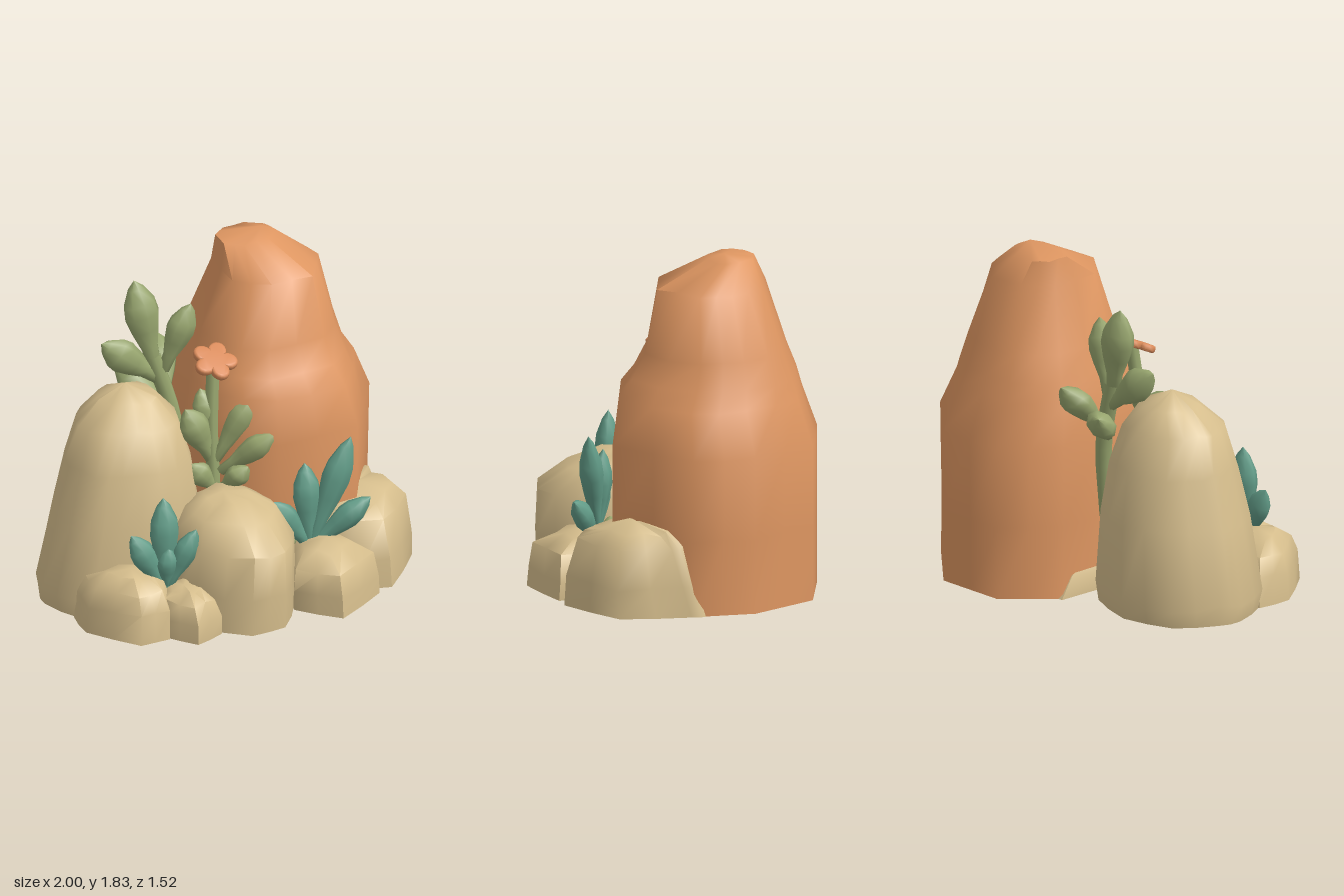
import * as THREE from 'three';
import { toCreasedNormals } from 'three/addons/utils/BufferGeometryUtils.js';

const paint = (name, color) => {
  const m = new THREE.MeshStandardMaterial({ color });
  m.name = name;
  return m;
};

function seeded(seed) {
  return () => {
    seed = (seed * 16807) % 2147483647;
    return seed / 2147483647 - 0.5;
  };
}

// Rock lofted from a footprint [x, z] stretched to rings [y, x0, x1, z0, z1, bulge], closed by a peak [x, y, z]
function rock(name, materials, footprint, rings, peak, seed, rough = 0.02) {
  const rand = seeded(seed);
  const unit = (t) => THREE.MathUtils.clamp(t, -1, 1);
  const xs = footprint.map((p) => p[0]), zs = footprint.map((p) => p[1]);
  const x0 = Math.min(...xs), x1 = Math.max(...xs), z0 = Math.min(...zs), z1 = Math.max(...zs);
  const corners = footprint.map(([x, z]) => [(2 * (x - x0)) / (x1 - x0) - 1, (2 * (z - z0)) / (z1 - z0) - 1]);
  const n = corners.length * 2;
  const loops = rings.map(([y, rx0, rx1, rz0, rz1, bulge = 1.03], i) => {
    const uneven = i > 0 ? rough : 0;
    const loop = [];
    const add = (u, v, s) => loop.push([
      (rx0 + rx1 + unit(u * s) * (rx1 - rx0)) / 2, y + rand() * uneven * 1.6, (rz0 + rz1 + unit(v * s) * (rz1 - rz0)) / 2]);
    // midpoints of the sides bulge slightly
    corners.forEach(([u, v], j) => {
      const [u2, v2] = corners[(j + 1) % corners.length];
      add(u, v, 1);
      add((u + u2) / 2, (v + v2) / 2, bulge + rand() * uneven * 2);
    });
    return loop;
  });
  const pos = [];
  const tri = (...c) => c.forEach((p) => pos.push(...p));
  for (let i = 0; i < loops.length - 1; i++) {
    for (let j = 0; j < n; j++) {
      const k = (j + 1) % n, lo = loops[i], hi = loops[i + 1];
      tri(lo[j], hi[j], lo[k]);
      tri(lo[k], hi[j], hi[k]);
    }
  }
  const top = loops[loops.length - 1], base = loops[0];
  for (let j = 0; j < n; j++) tri(top[j], peak, top[(j + 1) % n]);
  const sideCount = pos.length / 3;
  const centre = [(rings[0][1] + rings[0][2]) / 2, 0, (rings[0][3] + rings[0][4]) / 2];
  for (let j = 0; j < n; j++) tri(base[j], base[(j + 1) % n], centre);
  const geo = new THREE.BufferGeometry();
  geo.setAttribute('position', new THREE.Float32BufferAttribute(pos, 3));
  geo.addGroup(0, sideCount, 0);
  geo.addGroup(sideCount, pos.length / 3 - sideCount, 1);
  const mesh = new THREE.Mesh(toCreasedNormals(geo, 1), materials);
  mesh.name = name;
  return mesh;
}

// Plump pointed leaf running from base to tip
const leafProfile = [[0.001, 0], [0.2, 0.03], [0.24, 0.25], [0.4, 0.45], [0.5, 0.62], [0.46, 0.75], [0.24, 0.91], [0.001, 1]]
  .map(([r, y]) => new THREE.Vector2(r, y));
const leafGeometry = new THREE.LatheGeometry(leafProfile, 8);

function leaf(material, base, tip, width) {
  const a = new THREE.Vector3(...base), d = new THREE.Vector3(...tip).sub(a);
  const mesh = new THREE.Mesh(leafGeometry, material);
  mesh.name = 'leaf';
  mesh.position.copy(a);
  mesh.scale.set(width, d.length(), width * 0.75);
  mesh.quaternion.setFromUnitVectors(new THREE.Vector3(0, 1, 0), d.normalize());
  return mesh;
}

function plant(name, material, stemPoints, stemRadius, leaves) {
  const g = new THREE.Group();
  g.name = name;
  if (stemPoints) {
    const curve = new THREE.CatmullRomCurve3(stemPoints.map((p) => new THREE.Vector3(...p)));
    const stem = new THREE.Mesh(new THREE.TubeGeometry(curve, 8, stemRadius, 7), material);
    stem.name = 'stem';
    g.add(stem);
  }
  leaves.forEach((l) => g.add(leaf(material, ...l)));
  return g;
}

export function createModel() {
  const root = new THREE.Group();
  root.name = 'desertRocks';
  const orange = paint('orangeStone', 0xde9661);
  const tan = paint('sandStone', 0xd5bd8c);
  const green = paint('sageGreen', 0x98a66f);
  const teal = paint('tealGreen', 0x629c88);
  const bloom = paint('flowerOrange', 0xda8b5a);

  // Tall orange pillar with a sandy underside
  root.add(rock('tallPillar', [orange, tan],
    [[0.18, -0.76], [0.58, -0.75], [0.87, -0.46], [0.95, -0.14], [0.65, 0.29], [0.18, 0.29], [-0.11, 0], [-0.07, -0.52]],
    [[0, -0.11, 0.94, -0.76, 0.29, 1], [0.4, -0.11, 0.94, -0.76, 0.3, 1], [0.84, -0.11, 0.95, -0.76, 0.3, 1.01],
      [1.08, -0.06, 0.85, -0.68, 0.27, 1.06], [1.18, -0.03, 0.79, -0.65, 0.2, 1.1], [1.32, 0.01, 0.75, -0.6, 0.13, 1.1],
      [1.66, 0.11, 0.66, -0.49, 0.07, 1.02], [1.79, 0.15, 0.47, -0.43, -0.19, 1]],
    [0.39, 1.83, -0.28], 11, 0.01));

  // Sandy boulders
  root.add(rock('leftBoulder', [tan, tan],
    [[-0.2, -0.42], [-0.1, -0.08], [-0.22, 0.2], [-0.5, 0.27], [-0.76, 0.2], [-0.92, 0.1], [-1, -0.14], [-0.96, -0.27], [-0.8, -0.47], [-0.5, -0.54]],
    [[0, -0.98, -0.12, -0.52, 0.26], [0.1, -1, -0.11, -0.54, 0.27], [0.5, -0.91, -0.13, -0.5, 0.25],
      [0.78, -0.84, -0.17, -0.45, 0.2], [0.99, -0.78, -0.23, -0.38, 0.12], [1.1, -0.65, -0.33, -0.3, 0]],
    [-0.5, 1.18, -0.14], 23));
  root.add(rock('centreBoulder', [tan, tan],
    [[-0.3, -0.05], [0.05, -0.05], [0.18, 0.25], [0.17, 0.5], [0, 0.72], [-0.2, 0.73], [-0.42, 0.5], [-0.44, 0.2]],
    [[0, -0.44, 0.18, -0.05, 0.72], [0.2, -0.44, 0.18, -0.04, 0.73], [0.44, -0.41, 0.17, 0, 0.72],
      [0.56, -0.34, 0.11, 0.08, 0.56], [0.62, -0.24, 0, 0.16, 0.42]],
    [-0.14, 0.645, 0.28], 37));
  root.add(rock('rightBoulder', [tan, tan],
    [[0.45, -0.15], [0.93, -0.15], [0.95, -0.08], [1, 0.27], [0.72, 0.55], [0.45, 0.45], [0.38, 0.15]],
    [[0, 0.38, 1, -0.2, 0.55], [0.15, 0.38, 0.99, -0.15, 0.54], [0.36, 0.4, 0.96, -0.08, 0.48], [0.43, 0.5, 0.9, 0, 0.37]],
    [0.7, 0.475, 0.2], 41));
  root.add(rock('frontRightStone', [tan, tan],
    [[0.25, 0.25], [0.52, 0.28], [0.63, 0.58], [0.32, 0.76], [0.14, 0.55]],
    [[0, 0.14, 0.63, 0.25, 0.76], [0.1, 0.14, 0.63, 0.25, 0.75], [0.24, 0.15, 0.6, 0.28, 0.73], [0.31, 0.23, 0.5, 0.34, 0.6]],
    [0.38, 0.335, 0.46], 53));
  root.add(rock('frontLeftStone', [tan, tan],
    [[-0.92, 0.1], [-0.55, 0.1], [-0.45, 0.3], [-0.6, 0.54], [-0.77, 0.54], [-0.95, 0.28]],
    [[0, -0.95, -0.45, 0.08, 0.55], [0.15, -0.94, -0.45, 0.09, 0.54], [0.26, -0.9, -0.5, 0.13, 0.5], [0.31, -0.82, -0.58, 0.2, 0.4]],
    [-0.7, 0.33, 0.3], 67));
  root.add(rock('smallFrontStone', [tan, tan],
    [[-0.55, 0.3], [-0.32, 0.3], [-0.26, 0.5], [-0.33, 0.62], [-0.5, 0.68], [-0.62, 0.5]],
    [[0, -0.62, -0.26, 0.3, 0.68], [0.1, -0.62, -0.26, 0.3, 0.68], [0.2, -0.6, -0.3, 0.33, 0.64], [0.24, -0.54, -0.37, 0.38, 0.55]],
    [-0.47, 0.25, 0.46], 71));
  root.add(rock('lowBackStone', [tan, tan],
    [[-0.08, -0.53], [0.1, -0.5], [0.1, -0.1], [-0.13, -0.1]],
    [[0, -0.13, 0.1, -0.54, -0.1], [0.1, -0.13, 0.1, -0.46, -0.1]],
    [-0.04, 0.2, -0.22], 83));

  // Teal succulents
  const a = [-0.53, 0.2, 0.38];
  root.add(plant('leftSucculent', teal, null, 0, [
    [a, [-0.54, 0.73, 0.36], 0.17], [a, [-0.72, 0.54, 0.34], 0.14],
    [a, [-0.39, 0.55, 0.45], 0.14], [a, [-0.54, 0.46, 0.42], 0.12]]));
  const b = [0.32, 0.26, 0.39];
  root.add(plant('rightSucculent', teal, null, 0, [
    [b, [0.54, 0.87, 0.43], 0.17], [b, [0.3, 0.74, 0.36], 0.16],
    [b, [0.1, 0.56, 0.37], 0.14], [b, [0.62, 0.53, 0.5], 0.15]]));

  // Tall leafy plant between the rocks
  root.add(plant('backPlant', green, [[-0.1, 0.4, -0.22], [-0.14, 0.85, -0.28], [-0.24, 1.2, -0.32]], 0.045, [
    [[-0.23, 1.12, -0.31], [-0.33, 1.64, -0.36], 0.2], [[-0.2, 1.06, -0.31], [-0.54, 1.33, -0.33], 0.18],
    [[-0.19, 1.1, -0.3], [-0.06, 1.5, -0.23], 0.17], [[-0.17, 0.92, -0.3], [-0.09, 1.2, -0.56], 0.19],
    [[-0.17, 0.88, -0.29], [-0.34, 1.08, -0.54], 0.18]]));

  // Flowering plant in front of the pillar
  root.add(plant('flowerPlant', green, [[-0.09, 0.45, 0.1], [-0.09, 0.9, 0.06], [-0.06, 1.27, 0.02]], 0.036, [
    [[-0.09, 0.72, 0.08], [0.13, 1.1, 0.16], 0.17], [[-0.09, 0.72, 0.07], [-0.25, 1.05, 0.06], 0.17],
    [[-0.07, 0.66, 0.1], [0.19, 0.9, 0.27], 0.16], [[-0.08, 0.56, 0.1], [-0.24, 0.74, 0.1], 0.13],
    [[-0.08, 0.56, 0.12], [0.03, 0.73, 0.24], 0.14], [[-0.08, 0.82, 0.06], [-0.13, 1.12, 0.0], 0.14],
    [[0.22, 0.2, 0.3], [0.2, 0.35, 0.33], 0.14]]));

  // Five-petalled flower
  const petals = new THREE.Shape();
  for (let i = 0; i <= 50; i++) {
    const t = (i / 50) * Math.PI * 2, r = 0.055 + 0.057 * Math.pow(Math.abs(Math.cos(2.5 * t)), 0.8);
    petals[i ? 'lineTo' : 'moveTo'](r * Math.sin(t), -r * Math.cos(t));
  }
  const flower = new THREE.Mesh(toCreasedNormals(new THREE.ExtrudeGeometry(petals,
    { depth: 0.016, bevelSize: 0.012, bevelThickness: 0.012, bevelSegments: 2 }), 0.9), bloom);
  flower.name = 'flower';
  flower.position.set(-0.06, 1.27, 0.03);
  flower.rotation.x = -Math.PI / 2 + 0.45;
  root.add(flower);
  return root;
}
